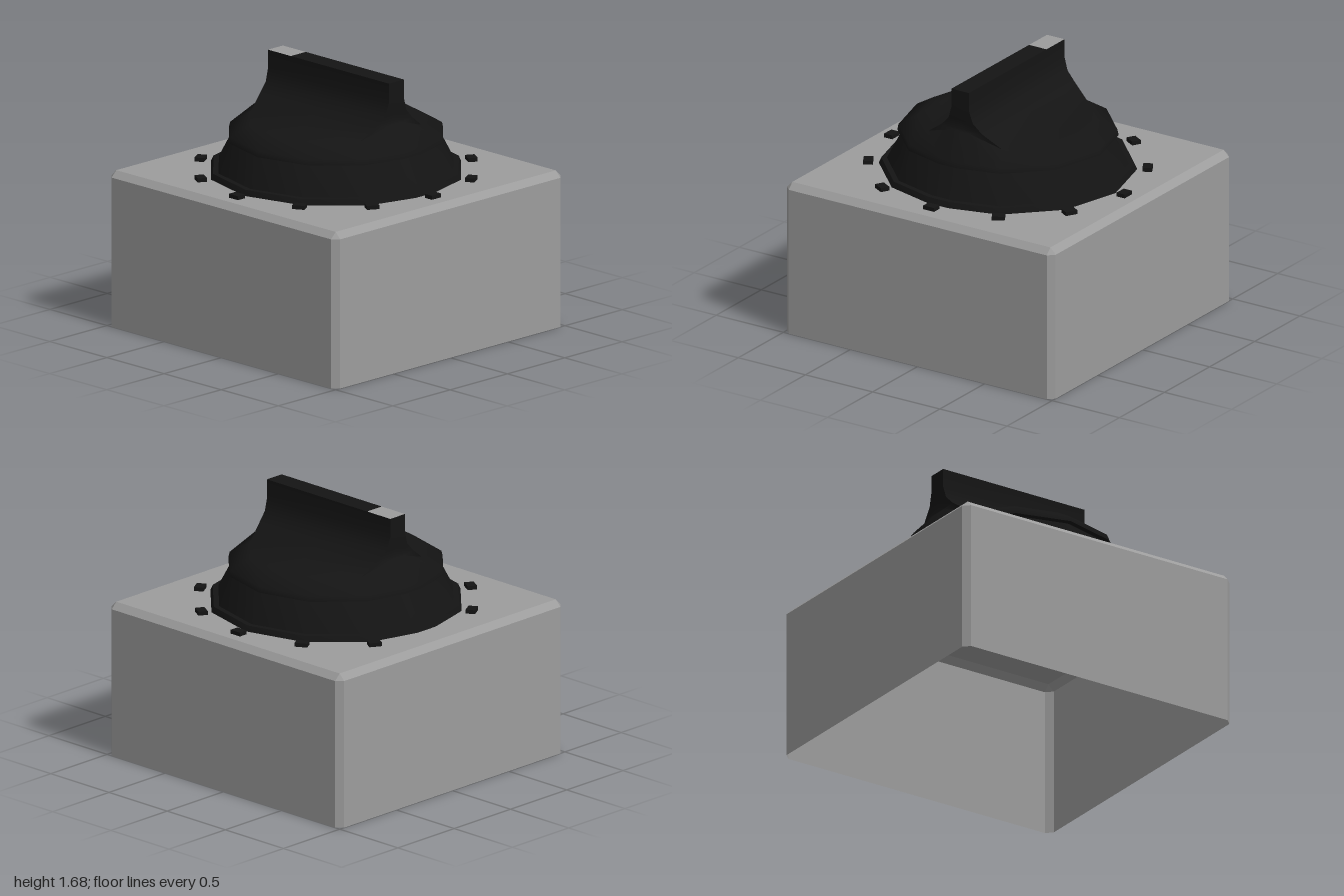
import * as THREE from 'three';
import { toCreasedNormals } from 'three/addons/utils/BufferGeometryUtils.js';

const grey = new THREE.MeshStandardMaterial({ color: 0x9c9c9c, side: THREE.DoubleSide });
const black = new THREE.MeshStandardMaterial({ color: 0x141414, side: THREE.DoubleSide });

// Collects quads (a, b, c, d counter-clockwise from outside) into a geometry
function quadMesh(name, quads, material, crease) {
  const positions = [];
  for (const [a, b, c, d] of quads) positions.push(...a, ...b, ...c, ...a, ...c, ...d);
  const geometry = new THREE.BufferGeometry();
  geometry.setAttribute('position', new THREE.Float32BufferAttribute(positions, 3));
  const mesh = new THREE.Mesh(toCreasedNormals(geometry, crease), material);
  mesh.name = name;
  return mesh;
}

// Joins two rows of points, lower then upper, running from +x towards +z
function band(lower, upper) {
  const quads = [];
  for (let i = 0; i < lower.length - 1; i++) {
    quads.push([lower[i], upper[i], upper[i + 1], lower[i + 1]]);
  }
  return quads;
}

// Mirrors quads of one quarter into all four, keeping the winding outward
function mirrorQuarter(quads) {
  const all = [];
  for (const sx of [1, -1]) for (const sz of [1, -1]) {
    for (const quad of quads) {
      const q = quad.map(([x, y, z]) => [x * sx, y, z * sz]);
      all.push(sx * sz < 0 ? q.reverse() : q);
    }
  }
  return all;
}

// Chamfered housing, open underneath
function createHousing() {
  const i = 0.96;
  const ring = (y, r) => [[r, y, 0], [r, y, i], [i, y, r], [0, y, r]];
  const base = ring(0, 1), shoulder = ring(i, 1), rim = ring(1, i);
  return quadMesh('housing', mirrorQuarter([
    ...band(base, shoulder),
    ...band(shoulder, rim),
    [[0, 1, 0], [0, 1, i], [i, 1, i], [i, 1, 0]],
  ]), grey, 0.3);
}

function createKnob() {
  const knob = new THREE.Group();
  knob.name = 'knob';

  // Faceted skirt: [radius, height]
  const profile = [[0.8, 1], [0.785, 1.035], [0.75, 1.035], [0.655, 1.22], [0.685, 1.225], [0.678, 1.26]];
  const ring = ([r, y]) => [
    [r, y, 0],
    [r * 0.866, y, r * 0.5],
    [r * 0.5, y, r * 0.866],
    [r * 0.1, y, r * 0.975],
    [0, y, r * 0.975],
  ];
  const rings = profile.map(ring);
  const quads = [];
  for (let k = 0; k < rings.length - 1; k++) quads.push(...band(rings[k], rings[k + 1]));

  // Cap edge, from the flat shoulder up the fillet to the top of the grip
  const edge = [
    [0.55, 1.335, 0], [0.476, 1.335, 0.275], [0.27, 1.335, 0.476], [0.15, 1.42, 0.515],
    [0.09, 1.48, 0.525], [0.065, 1.56, 0.53], [0.065, 1.68, 0.53],
  ];
  const centre = edge.map(([x, y]) => [x, y, 0]);
  const middle = edge.map(([, y, z]) => [0, y, z]);
  const foot = [0.068, 1.405, 0.525], footMiddle = [0, 1.405, 0.525];

  // Slope between the lip and the cap edge
  quads.push(...band(rings[5], [...edge.slice(0, 3), foot, footMiddle]));
  // Shoulder, fillet and grip sides
  quads.push(...band(edge, centre));
  // End walls of the grip, with a small gusset at each side of the foot
  quads.push([edge[2], edge[3], foot, foot], [foot, edge[3], middle[3], footMiddle]);
  for (let k = 3; k < 6; k++) quads.push([edge[k], edge[k + 1], middle[k + 1], middle[k]]);

  // Grip top, with the pale pointer at the back end
  const gripTop = (z0, z1) => [[-0.065, 1.68, z0], [-0.065, 1.68, z1], [0.065, 1.68, z1], [0.065, 1.68, z0]];
  knob.add(
    quadMesh('knobBody', [...mirrorQuarter(quads), gripTop(-0.33, 0.53)], black, 1),
    quadMesh('pointer', [gripTop(-0.53, -0.33)], grey, 1),
  );
  return knob;
}

// Dial ticks around the knob, none at the back
function createTicks() {
  const ticks = new THREE.Group();
  ticks.name = 'dialTicks';
  const geometry = new THREE.BoxGeometry(0.08, 0.025, 0.06);
  for (let k = -5; k <= 5; k++) {
    const angle = k * Math.PI / 6;
    const radius = k === 0 ? 0.85 : 0.865;
    const tick = new THREE.Mesh(geometry, black);
    tick.name = 'tick';
    tick.position.set(Math.sin(angle) * radius, 1.0125, Math.cos(angle) * radius);
    tick.rotation.y = angle;
    ticks.add(tick);
  }
  return ticks;
}

export function createModel() {
  const model = new THREE.Group();
  model.name = 'rotarySwitch';
  model.add(createHousing(), createKnob(), createTicks());
  return model;
}
